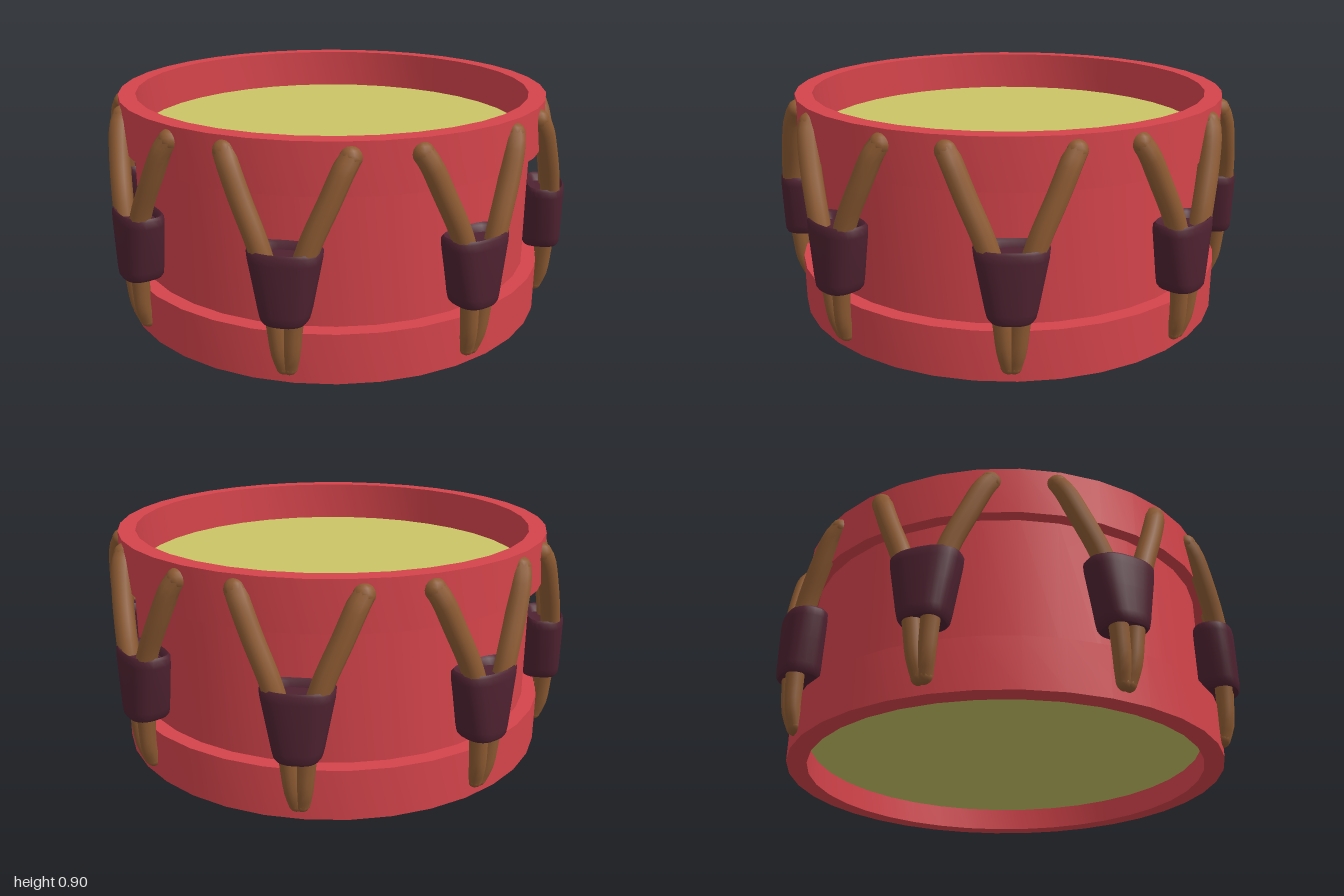
import * as THREE from 'three';
import { toCreasedNormals } from 'three/addons/utils/BufferGeometryUtils.js';

const material = (name, color) => {
  const m = new THREE.MeshStandardMaterial({ color });
  m.name = name;
  return m;
};

export function createModel() {
  const red = material('red paint', 0xd4444b);
  const hide = material('drum skin', 0xcbc566);
  const cord = material('brown rope', 0x8c5a32);
  const leather = material('dark leather', 0x4e2230);

  const model = new THREE.Group();
  model.name = 'drum';
  const add = (parent, name, geometry, mat) => {
    const mesh = new THREE.Mesh(geometry, mat);
    mesh.name = name;
    parent.add(mesh);
    return mesh;
  };

  const body = new THREE.Group();
  body.name = 'body';
  body.position.x = 0.013;
  model.add(body);

  // Shell and the two hoops: rectangular rings
  const ring = (outer, inner, y0, y1) => {
    const p = [[outer, y0], [outer, y1], [inner, y1], [inner, y0], [outer, y0]];
    const lathe = new THREE.LatheGeometry(p.map(([r, y]) => new THREE.Vector2(r, y)), 36);
    return toCreasedNormals(lathe, 0.5);
  };
  add(body, 'shell', ring(0.84, 0.826, 0.19, 0.72), red);
  add(body, 'lowerHoop', ring(0.9, 0.82, 0, 0.2), red);
  add(body, 'upperHoop', ring(0.89, 0.82, 0.71, 0.905), red);

  // Skins recessed inside the hoops
  const skin = new THREE.CircleGeometry(0.824, 36);
  const topSkin = add(body, 'topSkin', skin, hide);
  topSkin.rotation.x = -Math.PI / 2;
  topSkin.position.y = 0.735;
  const bottomSkin = add(body, 'bottomSkin', skin, hide);
  bottomSkin.rotation.x = Math.PI / 2;
  bottomSkin.position.y = 0.1;

  // Rope: a tapered tube, thin at the foot and thick at the top
  const radiusAt = (u) => 0.03 + 0.011 * Math.min(1, u * 2);
  const makeRope = (side) => {
    const path = [
      [0.01, 0.065, 0.9], [0.022, 0.13, 0.92], [0.033, 0.25, 0.928], [0.05, 0.4, 0.935],
      [0.088, 0.54, 0.928], [0.155, 0.7, 0.902], [0.2, 0.81, 0.875], [0.218, 0.848, 0.853],
    ].map(([x, y, z]) => new THREE.Vector3(side * x, y, z));
    const curve = new THREE.CatmullRomCurve3(path);
    const rows = 24, sides = 10;
    const tube = new THREE.TubeGeometry(curve, rows, 1, sides);
    const pos = tube.attributes.position;
    const v = new THREE.Vector3();
    for (let i = 0; i < pos.count; i++) {
      const u = Math.floor(i / (sides + 1)) / rows;
      const c = curve.getPointAt(u);
      v.fromBufferAttribute(pos, i).sub(c).multiplyScalar(radiusAt(u)).add(c);
      pos.setXYZ(i, v.x, v.y, v.z);
    }
    tube.computeBoundingSphere();
    // Rounded ends
    const ends = [0, 1].map((u) => {
      const s = new THREE.SphereGeometry(radiusAt(u) * 1.02, 12, 8);
      const c = curve.getPointAt(u);
      return s.translate(c.x, c.y, c.z);
    });
    return [tube, ...ends];
  };
  const ropes = [makeRope(-1), makeRope(1)];

  // Leather cuff: a turned form squared off, flared upward and bent round the shell
  const cuff = new THREE.LatheGeometry([
    [0.001, 0.275], [0.75, 0.265], [0.9, 0.26], [0.98, 0.272], [1, 0.3], [1, 0.4],
    [1, 0.49], [0.98, 0.52], [0.9, 0.53], [0.78, 0.522], [0.7, 0.5], [0.001, 0.495],
  ].map(([r, y]) => new THREE.Vector2(r, y)), 28);
  const cp = cuff.attributes.position;
  const soft = (t) => Math.sign(t) * Math.pow(Math.abs(t), 0.72);
  for (let i = 0; i < cp.count; i++) {
    const y = cp.getY(i);
    const r = Math.hypot(cp.getX(i), cp.getZ(i));
    const t = (y - 0.26) / 0.27;
    const x = soft(cp.getX(i) / r) * r * (0.087 + 0.052 * t);
    const z = soft(cp.getZ(i) / r) * r * 0.08 + 0.911 - (x * x) / 1.8;
    cp.setXYZ(i, x, y, z);
  }
  cuff.computeVertexNormals();
  const cuffGeometry = toCreasedNormals(cuff, 0.9);

  // Eight rope pairs around the drum
  for (let k = 0; k < 8; k++) {
    const lacing = new THREE.Group();
    lacing.name = `lacing${k + 1}`;
    lacing.rotation.y = THREE.MathUtils.degToRad(-6.5 + 45 * k);
    ropes.forEach(([tube, foot, tip], i) => {
      const side = i ? 'left' : 'right';
      add(lacing, `${side}Rope`, tube, cord);
      add(lacing, `${side}RopeFoot`, foot, cord);
      add(lacing, `${side}RopeTip`, tip, cord);
    });
    add(lacing, 'cuff', cuffGeometry, leather);
    body.add(lacing);
  }
  return model;
}
